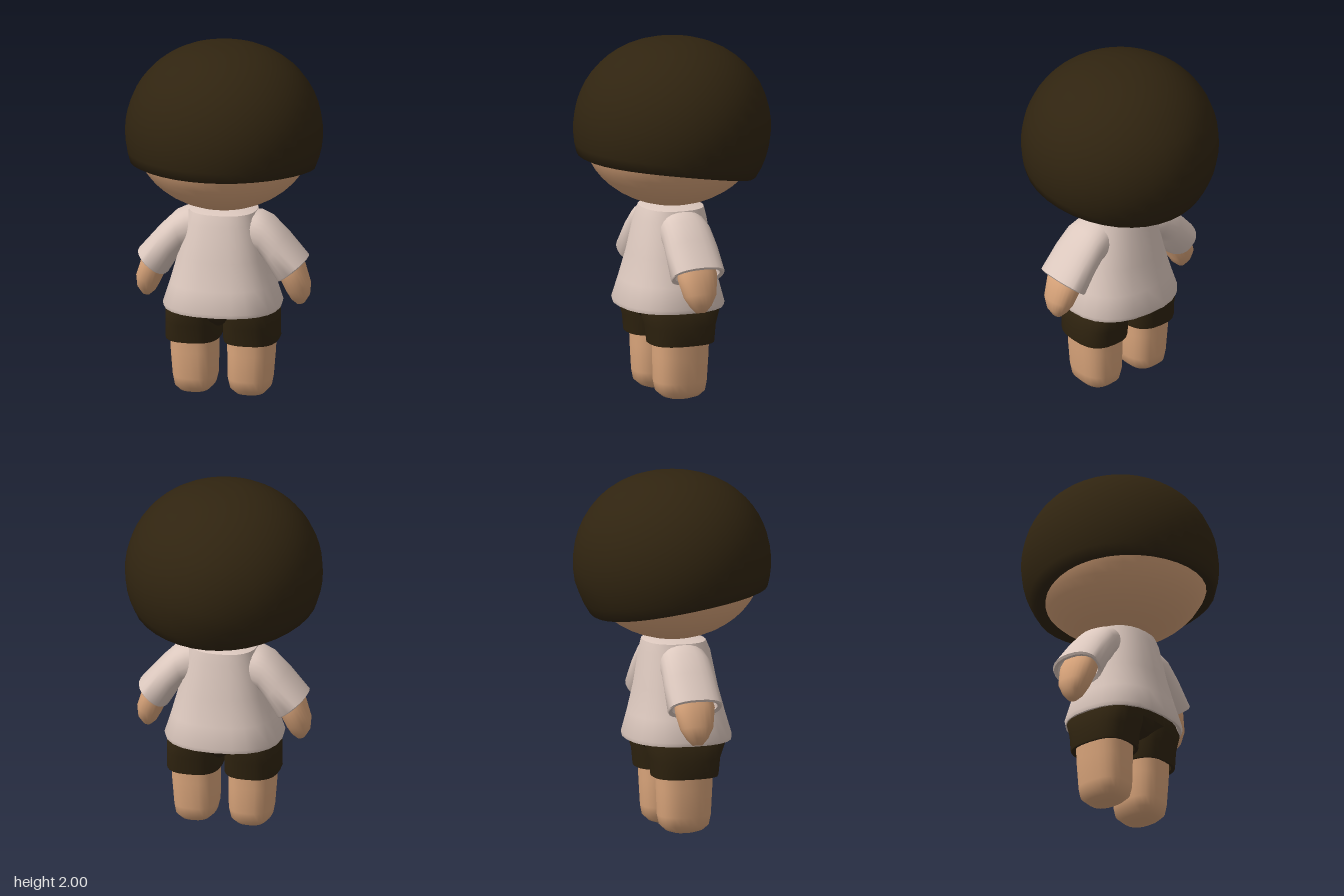
import * as THREE from 'three';
import { toCreasedNormals } from 'three/addons/utils/BufferGeometryUtils.js';

function material(name, color) {
  const m = new THREE.MeshStandardMaterial({ color });
  m.name = name;
  return m;
}

// Skins closed loops of points; both ends are closed with a fan.
function skin(rows, crease = 0.9) {
  const n = rows[0].length, pos = [], index = [];
  rows.forEach(row => row.forEach(p => pos.push(p.x, p.y, p.z)));
  const at = (i, j) => i * n + (j % n);
  for (let i = 0; i < rows.length - 1; i++) {
    for (let j = 0; j < n; j++) {
      index.push(at(i, j), at(i, j + 1), at(i + 1, j));
      index.push(at(i, j + 1), at(i + 1, j + 1), at(i + 1, j));
    }
  }
  [0, rows.length - 1].forEach((i, end) => {
    const c = new THREE.Vector3();
    rows[i].forEach(p => c.addScaledVector(p, 1 / n));
    const k = pos.length / 3;
    pos.push(c.x, c.y, c.z);
    for (let j = 0; j < n; j++) {
      if (end) index.push(k, at(i, j), at(i, j + 1));
      else index.push(k, at(i, j + 1), at(i, j));
    }
  });
  const g = new THREE.BufferGeometry();
  g.setAttribute('position', new THREE.Float32BufferAttribute(pos, 3));
  g.setIndex(index);
  return toCreasedNormals(g, crease);
}

// Superellipse loop around c with half axes u and v.
function loop(c, u, v, power = 2, n = 24) {
  const e = 2 / power, pts = [];
  const bend = t => Math.sign(t) * Math.pow(Math.abs(t), e);
  for (let j = 0; j < n; j++) {
    const a = j / n * Math.PI * 2;
    pts.push(c.clone().addScaledVector(u, bend(Math.cos(a))).addScaledVector(v, bend(Math.sin(a))));
  }
  return pts;
}

const V = (x, y, z) => new THREE.Vector3(x, y, z);

// Level loops from top to bottom: [y, x0, x1, zBack, zFront]
const column = (list, power) => skin(list.map(([y, x0, x1, z0, z1]) => loop(
  V((x0 + x1) / 2, y, (z0 + z1) / 2), V((x1 - x0) / 2, 0, 0), V(0, 0, (z1 - z0) / 2), power)));

// Limb loops from shoulder to hand: [outerX, outerY, innerX, innerY, halfDepth]
const limb = (list, side) => skin(list.map(([ox, oy, ix, iy, d]) => loop(
  V(side * (ox + ix) / 2, (oy + iy) / 2, 0.01),
  V(side * (ox - ix) / 2, (oy - iy) / 2, 0), V(0, 0, side * d), 2.3)));

// Bowl of hair, cut along a rim that drops toward the back
function hairGeometry() {
  const n = 36, steps = 16, rows = [];
  const spread = phi => 0.548 * Math.pow(Math.sin(phi), 0.9);
  const rim = a => {
    let z = 0.5 * Math.sin(a), phi = 1.8;
    for (let k = 0; k < 8; k++) {
      phi = Math.acos((1.312 + 0.165 * z - 0.14 * z * z - 1.5) / 0.5);
      z = spread(phi) * Math.sin(a);
    }
    return phi;
  };
  for (let i = 1; i <= steps + 2; i++) {
    const row = [];
    for (let j = 0; j < n; j++) {
      const a = j / n * Math.PI * 2, phi = rim(a) * Math.min(i / steps, 1);
      let r = spread(phi), y = 1.5 + 0.5 * Math.cos(phi);
      // raised lock at the back
      if (Math.abs(a - Math.PI * 1.5) < 0.2 && phi > 1.0 && phi < 1.9) r *= 1.01;
      // turned-in rim
      if (i === steps + 1) { r *= 0.97; y -= 0.008; }
      if (i === steps + 2) { r *= 0.84; y += 0.02; }
      row.push(V(r * Math.cos(a), y, r * Math.sin(a)));
    }
    rows.push(row);
  }
  return skin(rows);
}

export function createModel() {
  const group = new THREE.Group();
  group.name = 'figure';
  const dark = material('dark brown', 0x302410);
  const flesh = material('skin', 0xdaa57b);
  const cloth = material('pale shirt', 0xdcc8be);
  const add = (name, geometry, mat) => {
    const mesh = new THREE.Mesh(geometry, mat);
    mesh.name = name;
    group.add(mesh);
    return mesh;
  };

  // Head and hair
  const head = add('head', new THREE.SphereGeometry(0.5, 36, 24), flesh);
  head.scale.y = 0.83;
  head.position.y = 1.482;
  add('hair', hairGeometry(), dark);

  // Flared shirt with a turned-in hem
  add('shirt', column([
    [1.075, -0.13, 0.13, -0.11, 0.12],
    [1.06, -0.19, 0.19, -0.165, 0.18],
    [1.0, -0.205, 0.205, -0.18, 0.205],
    [0.8, -0.25, 0.25, -0.208, 0.245],
    [0.65, -0.292, 0.292, -0.24, 0.285],
    [0.53, -0.33, 0.33, -0.27, 0.32],
    [0.508, -0.325, 0.325, -0.265, 0.315],
    [0.512, -0.305, 0.305, -0.245, 0.295],
    [0.62, -0.27, 0.27, -0.21, 0.25],
  ], 2.4), cloth);

  // Centre of the shorts between the legs
  add('shortsSeat', column([
    [0.6, -0.26, 0.26, -0.19, 0.23],
    [0.5, -0.27, 0.27, -0.2, 0.24],
    [0.47, -0.14, 0.14, -0.17, 0.21],
    [0.42, -0.02, 0.02, -0.12, 0.16],
  ], 2.6), dark);

  for (const side of [1, -1]) {
    const label = side > 0 ? 'left' : 'right';
    const across = list => list.map(([y, a, b, z0, z1]) =>
      [y, Math.min(a * side, b * side), Math.max(a * side, b * side), z0, z1]);

    // Sleeve with an open cuff
    add(label + 'Sleeve', limb([
      [0.15, 1.06, 0.08, 0.85, 0.12],
      [0.21, 1.055, 0.15, 0.84, 0.135],
      [0.27, 1.025, 0.2, 0.83, 0.143],
      [0.36, 0.935, 0.25, 0.775, 0.15],
      [0.475, 0.8, 0.31, 0.675, 0.155],
      [0.468, 0.787, 0.315, 0.67, 0.15],
      [0.45, 0.785, 0.328, 0.69, 0.13],
      [0.39, 0.85, 0.28, 0.765, 0.11],
    ], side), cloth);

    // Forearm and rounded hand
    add(label + 'Arm', limb([
      [0.4, 0.86, 0.28, 0.76, 0.1],
      [0.452, 0.77, 0.322, 0.685, 0.113],
      [0.49, 0.65, 0.36, 0.605, 0.092],
      [0.486, 0.585, 0.385, 0.56, 0.06],
      [0.458, 0.54, 0.415, 0.533, 0.028],
    ], side), flesh);

    // Shorts leg with an open hem
    add(label + 'ShortsLeg', column(across([
      [0.58, 0.02, 0.26, -0.19, 0.23],
      [0.5, 0.008, 0.312, -0.2, 0.245],
      [0.42, 0.01, 0.314, -0.175, 0.215],
      [0.33, 0.01, 0.317, -0.165, 0.205],
      [0.32, 0.013, 0.314, -0.162, 0.202],
      [0.324, 0.03, 0.297, -0.145, 0.185],
      [0.38, 0.04, 0.285, -0.13, 0.17],
    ]), 2.7), dark);

    // Stubby leg
    add(label + 'Leg', column(across([
      [0.4, 0.03, 0.295, -0.14, 0.175],
      [0.25, 0.03, 0.29, -0.135, 0.172],
      [0.1, 0.032, 0.278, -0.128, 0.166],
      [0.045, 0.045, 0.268, -0.118, 0.155],
      [0.015, 0.075, 0.24, -0.085, 0.12],
      [0, 0.11, 0.2, -0.04, 0.075],
    ]), 2.6), flesh);
  }
  return group;
}
